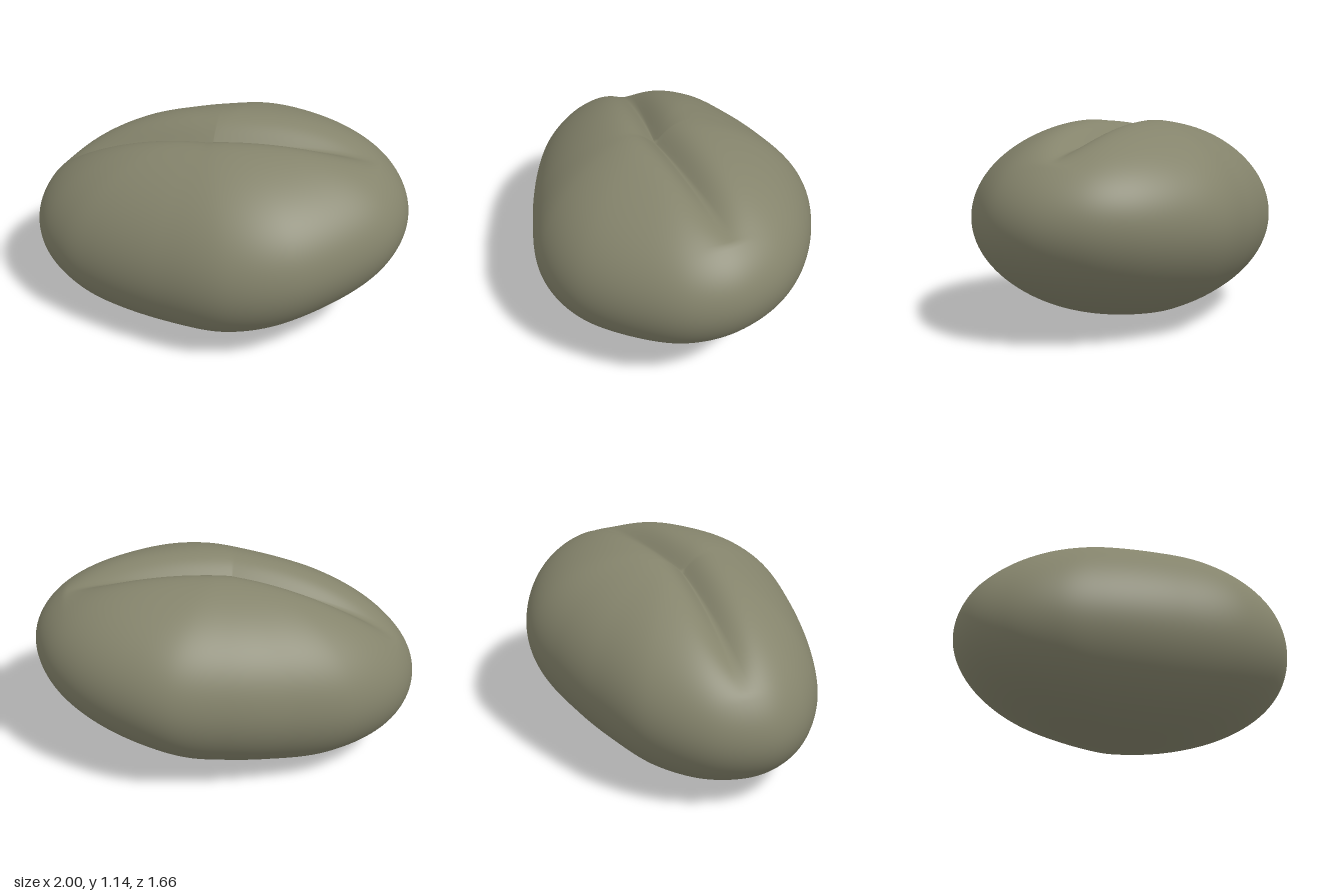
import * as THREE from 'three';
import { mergeVertices } from 'three/addons/utils/BufferGeometryUtils.js';

// Widest outline of the body seen from above, as (x, z)
const OUTLINE = [
  [-0.96, -0.5], [-0.75, -0.725], [-0.4, -0.83], [0, -0.78], [0.3, -0.7], [0.6, -0.575],
  [0.8, -0.37], [0.95, -0.1], [1, 0.15], [0.95, 0.42], [0.8, 0.62], [0.55, 0.75],
  [0.15, 0.83], [-0.18, 0.75], [-0.5, 0.5], [-0.8, 0.18], [-0.93, -0.02], [-1, -0.27],
];
const POLE = new THREE.Vector2(-0.05, -0.03);
// The crease runs from the pole to these two ends
const CREASE_ENDS = [new THREE.Vector2(-0.82, -0.56), new THREE.Vector2(0.8, 0.32)];

// Depth of the crease below the smooth surface at (x, z)
function creaseDepth(x, z) {
  const p = new THREE.Vector2(x, z).sub(POLE);
  let depth = 0;
  for (const end of CREASE_ENDS) {
    const dir = end.clone().sub(POLE);
    const t = THREE.MathUtils.clamp(p.dot(dir) / dir.lengthSq(), 0, 1);
    const d = p.distanceTo(dir.multiplyScalar(t));
    depth = Math.max(depth, 0.13 * (1 - t ** 3) * Math.exp(-((d / 0.095) ** 1.3)));
  }
  return depth;
}

function bodyGeometry(around = 200, down = 110) {
  const outline = new THREE.CatmullRomCurve3(
    OUTLINE.map(([x, z]) => new THREE.Vector3(x, 0, z)), true);
  const rim = outline.getSpacedPoints(around);
  const positions = [], index = [];

  // Rings from the top pole to the bottom pole
  for (let j = 0; j <= down; j++) {
    const angle = (j / down) * Math.PI;
    const s = j === 0 || j === down ? 0 : Math.sin(angle);
    const c = Math.cos(angle);
    for (let i = 0; i < around; i++) {
      const x = POLE.x + s * (rim[i].x - POLE.x);
      const z = POLE.y + s * (rim[i].z - POLE.y);
      let y = 0.575 + 0.109 * x + c * (c > 0 ? 0.578 : 0.562);
      if (c > 0) y -= creaseDepth(x, z) * Math.min(1, c * 3);
      positions.push(x, y, z);
      if (j < down) {
        const a = j * around + i, b = j * around + (i + 1) % around;
        if (j > 0) index.push(a, b, a + around);
        if (j < down - 1) index.push(b, b + around, a + around);
      }
    }
  }
  let geometry = new THREE.BufferGeometry();
  geometry.setAttribute('position', new THREE.Float32BufferAttribute(positions, 3));
  geometry.setIndex(index);
  geometry = mergeVertices(geometry, 1e-5);
  geometry.computeBoundingBox();
  geometry.translate(0, -geometry.boundingBox.min.y, 0);
  geometry.computeVertexNormals();
  return geometry;
}

export function createModel() {
  const group = new THREE.Group();
  group.name = 'creasedPebble';
  const oliveGrey = new THREE.MeshStandardMaterial({ color: 0x85846c });
  oliveGrey.name = 'oliveGrey';
  const body = new THREE.Mesh(bodyGeometry(), oliveGrey);
  body.name = 'body';
  group.add(body);
  return group;
}
